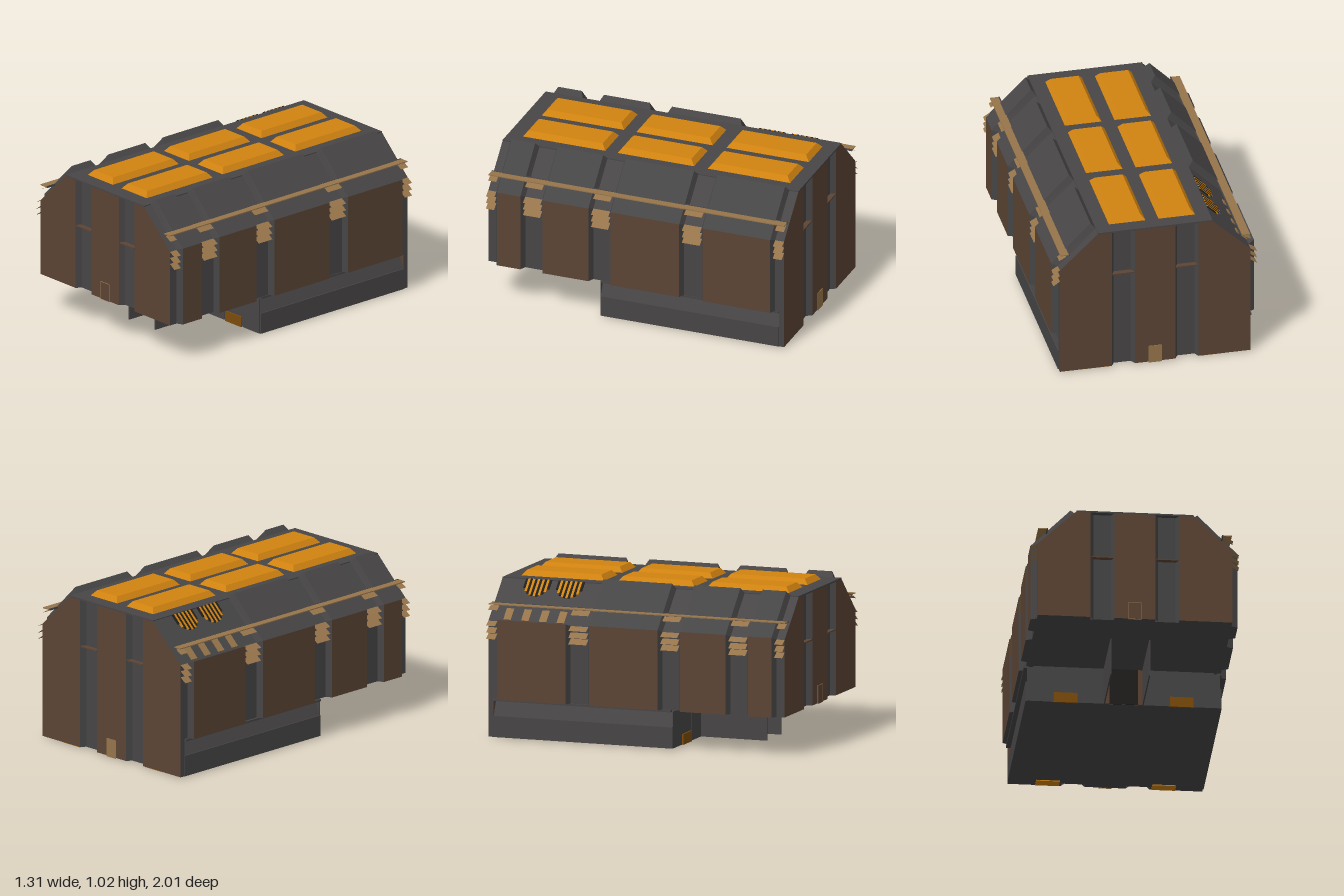
import * as THREE from 'three';

const mat = (name, color, side = THREE.FrontSide) => {
  const m = new THREE.MeshStandardMaterial({ color, side });
  m.name = name;
  return m;
};

export function createModel() {
  const grey = mat('dark grey metal', 0x474546, THREE.DoubleSide);
  const brown = mat('rust brown panel', 0x5b4434, THREE.DoubleSide);
  const orange = mat('orange glass', 0xd08210);
  const amber = mat('dim amber', 0x7c4c0a);
  const tan = mat('tan trim', 0x96744a, THREE.DoubleSide);
  const black = mat('shadow black', 0x211f1d);

  const model = new THREE.Group();
  model.name = 'armouredBuilding';
  const add = (name, geo, material, x = 0, y = 0, z = 0, parent = model) => {
    const m = new THREE.Mesh(geo, material);
    m.name = name;
    m.position.set(x, y, z);
    parent.add(m);
    return m;
  };
  // Box given by its limits
  const box = (name, material, x0, x1, y0, y1, z0, z1, parent) =>
    add(name, new THREE.BoxGeometry(x1 - x0, y1 - y0, z1 - z0), material,
      (x0 + x1) / 2, (y0 + y1) / 2, (z0 + z1) / 2, parent);
  // Outline in x,y pushed along z
  const prism = (name, material, pts, z0, z1) =>
    add(name, new THREE.ExtrudeGeometry(new THREE.Shape(pts.map(p => new THREE.Vector2(...p))),
      { depth: z1 - z0, bevelEnabled: false }), material, 0, 0, z0);
  const mirrored = pts => [...pts, ...pts.map(([x, y]) => [-x, y]).reverse()];

  // Flat-sided mesh from quads
  const quads = list => {
    const pos = [];
    for (const [a, b, c, d] of list) pos.push(...a, ...b, ...c, ...a, ...c, ...d);
    const g = new THREE.BufferGeometry();
    g.setAttribute('position', new THREE.Float32BufferAttribute(pos, 3));
    g.computeVertexNormals();
    return g;
  };

  // Hall core, roof sheet and plinth
  const CAP = 0.965;
  prism('hallCore', grey, mirrored([[0.615, 0.26], [0.615, 0.755], [0.37, 0.99]]), -CAP, CAP);
  box('roofSheet', grey, -0.37, 0.37, 0.985, 0.996, -1, 1);
  prism('plinth', grey, mirrored([[0.615, 0.015], [0.615, 0.145], [0.57, 0.25], [0.57, 0.262]]), -CAP, 0.24);
  for (const s of [-1, 1]) {
    const x = s * 0.61;
    box('plinthLedge', grey, x - 0.01, x + 0.01, 0.015, 0.15, -CAP, 0.24);
    box('plinthLip', grey, x - 0.02, x + 0.01, 0.247, 0.26, -CAP, 0.235);
  }

  // End walls: three brown panels with two grooves between them
  for (const e of [-1, 1]) {
    const y0 = e > 0 ? 0.26 : 0.015;
    const z0 = e > 0 ? CAP : -1, z1 = e > 0 ? 1 : -CAP;
    const wall = [brown, grey];
    prism('endPanelCentre', wall, [[-0.13, y0], [0.13, y0], [0.13, 0.987], [-0.13, 0.987]], z0, z1);
    for (const s of [-1, 1]) {
      prism('endPanelOuter', wall,
        [[0.28, y0], [0.615, y0], [0.615, 0.755], [0.37, 0.99], [0.28, 0.99]].map(([x, y]) => [x * s, y]), z0, z1);
      // sloping groove sides
      for (const [xa, xb] of [[0.13, 0.15], [0.28, 0.26]]) {
        add('grooveBevel', quads([[[s * xa, y0, e], [s * xb, y0, e * CAP],
          [s * xb, 0.987, e * CAP], [s * xa, 0.987, e]]]), grey);
      }
      const zc = e * 0.982;
      box('grooveBar', brown, s * 0.205 - 0.07, s * 0.205 + 0.07, 0.676, 0.684, zc - 0.018, zc + 0.018);
    }
    // small hatch
    const h0 = e > 0 ? 0.255 : 0.01, hz = e * 1.001;
    box('hatchFrame', tan, -0.042, 0.042, h0, h0 + 0.12, hz - 0.003, hz + 0.001);
    box('hatch', e > 0 ? brown : grey, -0.038, 0.038, h0 + 0.004, h0 + 0.116, hz - 0.002, hz + 0.002);
  }

  // Entrance below the front overhang
  for (const s of [-1, 1]) {
    box('entranceSide', grey, s * 0.122 - 0.004, s * 0.122 + 0.004, 0.015, 0.26, 0.24, 0.69);
    box('doorJamb', brown, s * 0.105 - 0.015, s * 0.105 + 0.015, 0.015, 0.255, 0.24, 0.25);
    box('frontLamp', amber, s * 0.367 - 0.075, s * 0.367 + 0.075, 0.012, 0.08, 0.24, 0.25);
    box('rearLamp', orange, s * 0.367 - 0.075, s * 0.367 + 0.075, 0.008, 0.014, -0.99, -0.92);
    box('plinthRib', grey, s * 0.205 - 0.075, s * 0.205 + 0.075, 0.015, 0.25, 0.24, 0.245);
    box('plinthRib', grey, s * 0.535 - 0.075, s * 0.535 + 0.075, 0.015, 0.25, 0.24, 0.245);
  }
  box('door', black, -0.12, 0.12, 0.016, 0.258, 0.24, 0.245);

  // Skylights with sloping rims
  for (const [z0, z1] of [[-0.91, -0.35], [-0.26, 0.26], [0.34, 0.9]]) {
    for (const s of [-1, 1]) {
      const w = 0.24, d = z1 - z0, g = new THREE.BoxGeometry(w, 0.036, d).toNonIndexed();
      const p = g.attributes.position;
      for (let i = 0; i < p.count; i++) {
        if (p.getY(i) > 0) {
          p.setX(i, p.getX(i) - Math.sign(p.getX(i)) * 0.03);
          p.setZ(i, p.getZ(i) - Math.sign(p.getZ(i)) * 0.03);
        }
      }
      g.computeVertexNormals();
      add('skylight', g, orange, s * 0.16, 1.012, (z0 + z1) / 2);
    }
  }

  // Side armour: raised bays with bevelled ends
  const bays = [[0.75, 0.945], [0.29, 0.635], [-0.325, 0.175], [-0.94, -0.445]];
  const inner = [[0.615, 0.26], [0.615, 0.755], [0.37, 0.995]];
  const outer = [[0.655, 0.26], [0.655, 0.77], [0.4, 1.028]];
  const bay = (side, z0, z1, open) => {
    const b = 0.018;
    const O = (i, z) => [...outer[i], z], I = (i, z) => [...inner[i], z];
    const za = z0 + b, zb = z1 - b;
    const wall = [[O(0, zb), O(0, za), O(1, za), O(1, zb)]];
    const trim = [[I(0, z0), O(0, za), O(0, zb), I(0, z1)]];
    const last = open ? 1 : 2;
    for (let i = 0; i < last; i++) {
      trim.push([I(i, z1), O(i, zb), O(i + 1, zb), I(i + 1, z1)]);
      trim.push([O(i, za), I(i, z0), I(i + 1, z0), O(i + 1, za)]);
    }
    if (!open) trim.push([O(1, zb), O(1, za), O(2, za), O(2, zb)]);
    trim.push([O(last, zb), O(last, za), I(last, z0), I(last, z1)]);
    add('bayWall', quads(wall), brown, 0, 0, 0, side);
    add('bayArmour', quads(trim), grey, 0, 0, 0, side);
  };

  for (const s of [1, -1]) {
    const side = new THREE.Group();
    side.name = s > 0 ? 'leftSide' : 'rightSide';
    side.scale.x = s;
    model.add(side);
    bays.forEach(([z0, z1], i) => bay(side, z0, z1, s < 0 && i === 3));

    // long thin trim running along the slope
    box('slopeTrim', tan, 0.555, 0.612, 0.858, 0.864, -1, 1, side);
    box('slopeTrimEdge', grey, 0.55, 0.558, 0.855, 0.866, -1, 1, side);

    // slanted slats in the gaps between bays
    for (const [z0, z1] of [[0.945, 1], [0.635, 0.75], [0.175, 0.29], [-0.445, -0.325], [-1, -0.94]]) {
      for (const [xa, ya, xb, yb] of [[0.615, 0.675, 0.657, 0.645], [0.615, 0.715, 0.657, 0.685],
        [0.615, 0.755, 0.657, 0.73], [0.575, 0.85, 0.62, 0.825]]) {
        add('slat', quads([[[xa, ya, z1], [xb, yb, z1], [xb, yb, z0], [xa, ya, z0]]]), tan, 0, 0, 0, side);
      }
    }
  }

  // Open rear bay with two striped half-round vents and tan braces
  const vents = new THREE.Group();
  vents.name = 'openBayVents';
  vents.position.set(-0.372, 0.992, 0);
  vents.rotation.z = Math.atan2(0.235, 0.245);
  model.add(vents);
  for (const zc of [-0.75, -0.53]) {
    for (let i = -5; i <= 5; i++) {
      const dz = i * 0.016, len = 1.4 * Math.sqrt(0.095 ** 2 - dz ** 2);
      box('ventStripe', i % 2 ? black : orange, -len, 0, 0.002, 0.008, zc + dz - 0.008, zc + dz + 0.008, vents);
    }
  }
  for (let i = 0; i < 4; i++) {
    box('brace', tan, -0.33, -0.24, 0.002, 0.008, -0.9 + i * 0.12, -0.85 + i * 0.12, vents);
  }
  return model;
}
